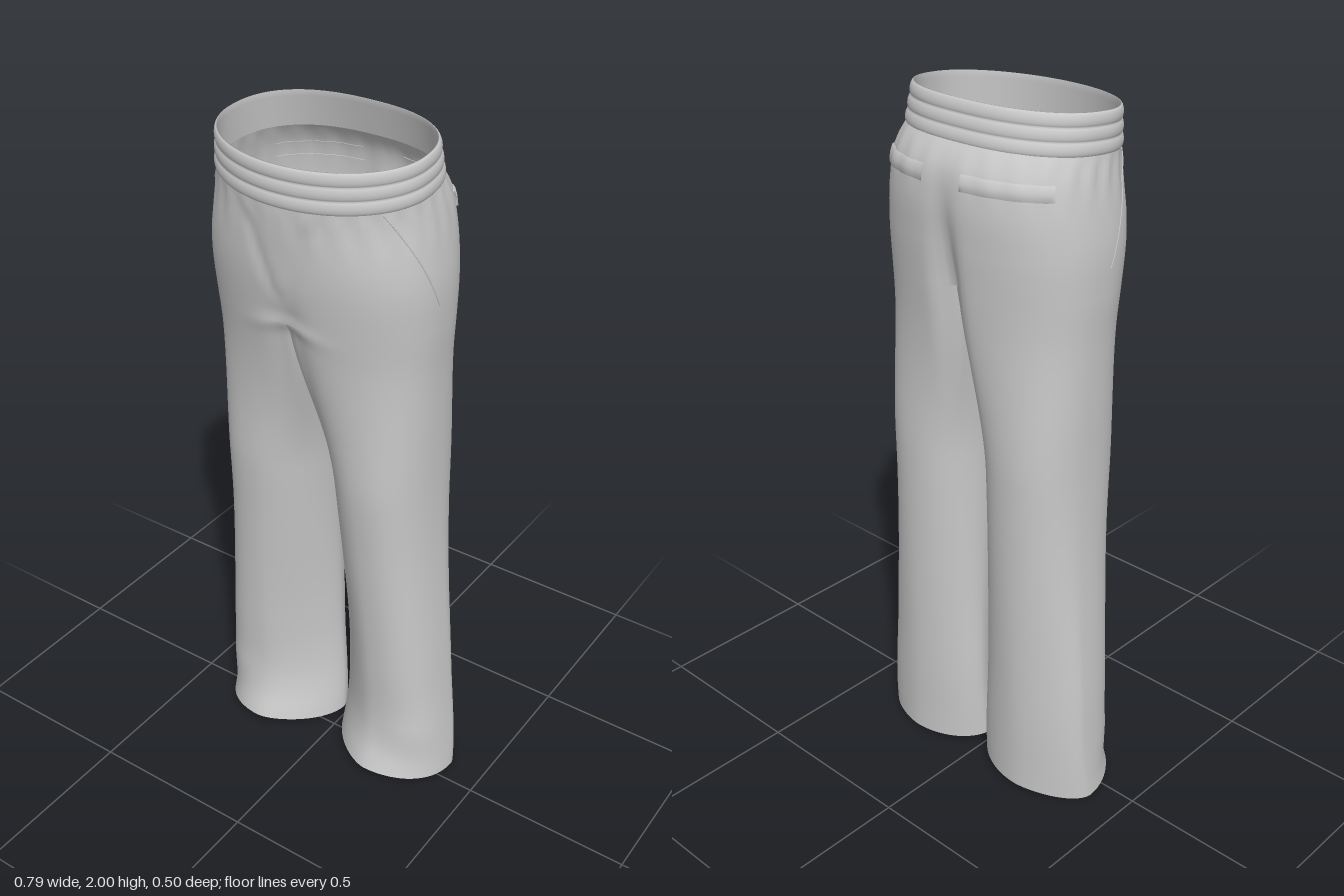
import * as THREE from 'three';
import { mergeVertices } from 'three/addons/utils/BufferGeometryUtils.js';

const { smoothstep, lerp } = THREE.MathUtils;
const CROTCH = 1.53, WAIST = 1.885;
const OUTER = 56, INNER = 20, COLS = OUTER + INNER;
const LEAN = -0.007; // the cloth hangs slightly to one side above the hems

// Silhouette by height: y, then outer x, inner x, front z, back z
const PROFILE = [
  [0, 0.393, 0.008, 0.135, -0.186],
  [0.08, 0.387, 0.012, 0.106, -0.187],
  [0.2, 0.377, 0.018, 0.09, -0.19],
  [0.4, 0.362, 0.025, 0.096, -0.193],
  [0.8, 0.33, 0.029, 0.126, -0.2],
  [1.0, 0.322, 0.028, 0.146, -0.205],
  [1.2, 0.322, 0.022, 0.163, -0.212],
  [1.4, 0.325, 0.01, 0.19, -0.224],
  [1.53, 0.332, 0, 0.212, -0.234],
  [1.65, 0.332, 0, 0.23, -0.243],
  [1.75, 0.32, 0, 0.238, -0.246],
  [1.82, 0.308, 0, 0.243, -0.234],
  [1.86, 0.3, 0, 0.245, -0.212],
  [1.89, 0.294, 0, 0.245, -0.188],
];
const spline = new THREE.CubicInterpolant(
  PROFILE.map((r) => r[0]), PROFILE.flatMap((r) => r.slice(1)), 4, new Float32Array(4));
const sizeAt = (y) => Array.from(spline.evaluate(y));

// Rounded oval, angle 0 at the front and turning towards +x.
// mid is the place of the widest point between back and front;
// n holds the squareness of the front outer, back outer, back inner and front inner corners.
function oval(a, cx, w, zf, zb, mid, n) {
  const s = Math.sin(a), c = Math.cos(a), zc = lerp(zb, zf, mid);
  const e = c > 0 ? (s > 0 ? n[0] : n[3]) : (s > 0 ? n[1] : n[2]);
  const r = (Math.abs(s) ** e + Math.abs(c) ** e) ** (-1 / e);
  return [cx + w * r * s, zc + (c > 0 ? zf - zc : zc - zb) * r * c];
}

// Half of the hip outline, with the seat cleft pressed in at the middle
function hip(a, y) {
  const [w, , zf, zb] = sizeAt(y);
  const front = lerp(2.3, 2, smoothstep(y, 1.7, WAIST));
  let [x, z] = oval(a, 0, w, zf, zb, 0.5, [front, 2.4, 2.4, front]);
  if (a > Math.PI - 1e-6 || a < 1e-6) x = 0;
  if (z < 0) z += Math.exp(-((x / 0.035) ** 2)) * lerp(0.045, 0, smoothstep(y, 1.45, 1.88));
  else z -= Math.exp(-((x / 0.05) ** 2)) * lerp(0.02, 0, smoothstep(y, 1.5, 1.65));
  return [x, z];
}

// Cloth folds and the higher back of the waist
function drape(x, y, z, a) {
  const gather = 1 + 0.009 * Math.sin(a * 26) * smoothstep(x, 0, 0.05)
    * smoothstep(y, 1.74, 1.84) * (1 - smoothstep(y, 1.85, WAIST));
  const front = smoothstep(z, 0.04, 0.14);
  const vee = Math.exp(-(((x - 0.1 * (y - 1.56) / 0.3) / 0.02) ** 2))
    * smoothstep(y, 1.56, 1.64) * (1 - smoothstep(y, 1.8, 1.88));
  const smile = Math.exp(-(((y - 1.53 + 0.25 * x) / 0.022) ** 2)) * Math.exp(-((x / 0.09) ** 2));
  const tilt = 0.017 * smoothstep(y, 1.6, WAIST) * -(z - 0.035) / 0.205;
  return new THREE.Vector3(x * gather, y + tilt, z * gather + front * (0.009 * smile - 0.006 * vee));
}
function hipPoint(a, y, out = 0) {
  const [x, z] = hip(a, y);
  const p = drape(x, y, z, a);
  p.x *= 1 + out / 0.3;
  p.z *= 1 + out / 0.24;
  return p;
}

// Point on a leg: a closed, outward-turned oval that becomes half a hip at the crotch
function legPoint(k, y) {
  const [w, inner, zf, zb] = sizeAt(y);
  const outside = k <= OUTER, s = outside ? k / OUTER : (k - OUTER) / INNER;
  const b = outside ? lerp(-0.87, Math.PI + 0.87, s) : lerp(Math.PI + 0.87, 2 * Math.PI - 0.87, s);
  const up = smoothstep(y, 0.3, 1.2), kick = smoothstep(y, 0, 0.2);
  const cx = (w + inner) / 2, hw = (w - inner) / 2, c = Math.cos(b);
  const leg = oval(b, cx, hw, zf, zb, lerp(0.38, 0.46, up),
    [lerp(2, lerp(2.6, 2.4, up), kick), lerp(1.65, 2.3, up), lerp(1.9, 2.2, up), lerp(1.55, 2.1, up)]);
  leg[1] += 0.018 * kick * (1 - up) * Math.max(0, c) * (leg[0] - cx) / hw;
  const a = outside ? s * Math.PI : 0;
  const top = outside ? hip(a, y) : [0, lerp(hip(Math.PI, y)[1], hip(0, y)[1], s)];
  const t = smoothstep(y, 1.0, CROTCH);
  const sag = outside ? 0 : 0.11 * Math.sin(Math.PI * s) ** 0.7 * (y / CROTCH) ** 5;
  const hem = ((c > 0 ? 0.035 : 0.012) * c * c + 0.02 * Math.max(0, -Math.sin(b)) ** 2)
    * (1 - smoothstep(y, 0, 0.3));
  const p = drape(lerp(leg[0], top[0], t), y, lerp(leg[1], top[1], t), a);
  p.y += hem - sag;
  return p;
}

// Puts a point on the left (1) or right (-1) half
function place(p, side) {
  p.x = side * p.x + LEAN * smoothstep(p.y, 0.02, 0.35);
  return p;
}

function makeGeometry(points, index) {
  const g = new THREE.BufferGeometry().setFromPoints(points);
  g.setIndex(index);
  const welded = mergeVertices(g, 1e-5);
  welded.computeVertexNormals();
  return welded;
}

// Quads between rows of points; keep(j, k) leaves out unwanted ones
function addGrid(index, base, rows, cols, closed, flip, keep = () => true) {
  for (let j = 0; j < rows - 1; j++) {
    for (let k = 0; k < (closed ? cols : cols - 1); k++) {
      if (!keep(j, k)) continue;
      const a = base + j * cols + k, b = base + j * cols + (k + 1) % cols;
      const c = b + cols, d = a + cols;
      index.push(...(flip ? [a, c, b, a, d, c] : [a, b, c, a, c, d]));
    }
  }
}

// Legs and seat as one continuous cloth
function bodyGeometry() {
  const points = [], index = [], legRows = 90, hipRows = 32;
  for (const side of [1, -1]) {
    const base = points.length;
    for (let j = 0; j <= legRows + hipRows; j++) {
      for (let k = 0; k < COLS; k++) {
        points.push(place(j <= legRows
          ? legPoint(k, CROTCH * (1 - (1 - j / legRows) ** 1.25))
          : hipPoint(Math.PI * Math.min(k, OUTER) / OUTER, lerp(CROTCH, WAIST, (j - legRows) / hipRows)), side));
      }
    }
    addGrid(index, base, legRows + hipRows + 1, COLS, true, side < 0,
      (j, k) => j < legRows || k < OUTER);
  }
  return makeGeometry(points, index);
}

// Elastic waistband with three ridges and an inner face
function waistbandGeometry() {
  const points = [], index = [], cols = 96, rows = [];
  for (let i = 0; i <= 30; i++) rows.push([i / 30, 0.005 * Math.abs(Math.sin(i * Math.PI / 10)) ** 0.6]);
  for (let i = 0; i <= 6; i++) rows.push([1 - i / 6, -0.003]);
  for (const [t, out] of rows) {
    for (let k = 0; k < cols; k++) {
      const a = (k / cols) * Math.PI * 2;
      const [x, z] = oval(a, LEAN, lerp(0.297, 0.289, t) + out, lerp(0.246, 0.241, t) + out,
        lerp(-0.194, -0.167, t) - out, 0.5, [2, 2.4, 2.4, 2]);
      points.push(new THREE.Vector3(x, lerp(1.88, 1.983, t) - 0.017 * (z - 0.035) / 0.205, z));
    }
  }
  addGrid(index, 0, rows.length, cols, true, false);
  return makeGeometry(points, index);
}

// Raised strip of the back pocket
function weltGeometry(side) {
  const points = [], index = [], cols = 24;
  const section = [[1.784, -0.003], [1.784, 0.005], [1.803, 0.006], [1.821, 0.005], [1.821, -0.003]];
  for (const [y, out] of section) {
    for (let k = 0; k < cols; k++) {
      points.push(place(hipPoint(Math.PI - lerp(1.0, 0.2, k / (cols - 1)), y, out), side));
    }
  }
  addGrid(index, 0, section.length, cols, false, side < 0);
  return makeGeometry(points, index);
}

// Slanted edge of the side pocket
function pocketEdgeGeometry(side) {
  const path = [];
  for (let i = 0; i <= 10; i++) {
    path.push(place(hipPoint(lerp(0.98, 1.47, i / 10), lerp(1.875, 1.6, i / 10)), side));
  }
  return new THREE.TubeGeometry(new THREE.CatmullRomCurve3(path), 30, 0.002, 6);
}

export function createModel() {
  const cloth = new THREE.MeshStandardMaterial({ color: 0xc8c8c8, side: THREE.DoubleSide });
  cloth.name = 'light grey cloth';
  const trousers = new THREE.Group();
  trousers.name = 'trousers';
  const add = (name, geometry) => {
    const mesh = new THREE.Mesh(geometry, cloth);
    mesh.name = name;
    trousers.add(mesh);
  };
  add('legsAndSeat', bodyGeometry());
  add('waistband', waistbandGeometry());
  for (const [name, side] of [['left', 1], ['right', -1]]) {
    add(name + 'BackPocketWelt', weltGeometry(side));
    add(name + 'SidePocketEdge', pocketEdgeGeometry(side));
  }
  return trousers;
}
